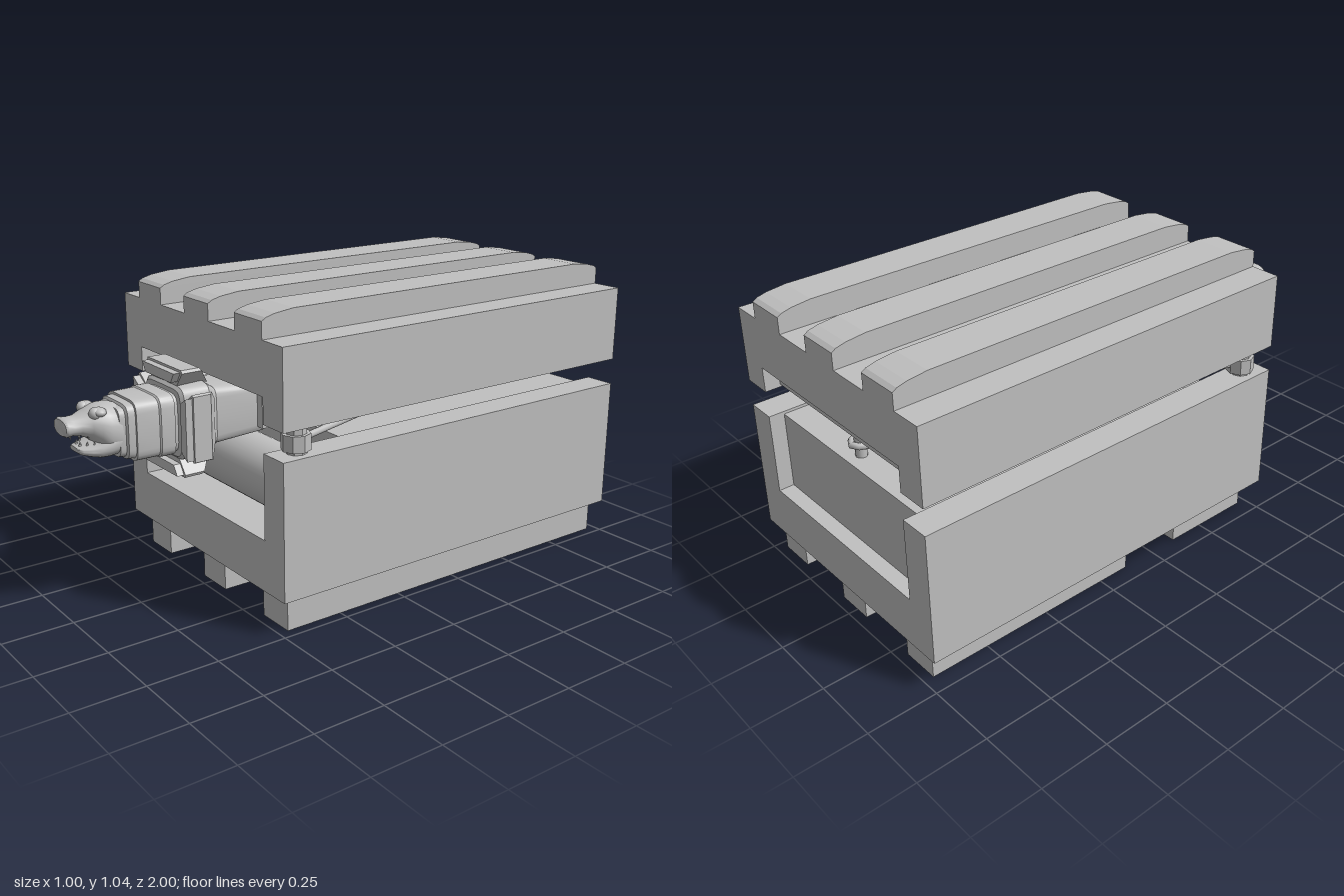
import * as THREE from 'three';
import { toCreasedNormals } from 'three/addons/utils/BufferGeometryUtils.js';

const stone = new THREE.MeshStandardMaterial({ color: 0xc0c0c0 });
stone.name = 'pale grey';

export function createModel() {
  const root = new THREE.Group();
  root.name = 'headedRam';

  const add = (name, geo, x = 0, y = 0, z = 0, parent = root) => {
    const m = new THREE.Mesh(geo, stone);
    m.name = name;
    m.position.set(x, y, z);
    parent.add(m);
    return m;
  };
  // Box from its minimum and maximum corners
  const block = (name, [x0, y0, z0], [x1, y1, z1]) =>
    add(name, new THREE.BoxGeometry(x1 - x0, y1 - y0, z1 - z0), (x0 + x1) / 2, (y0 + y1) / 2, (z0 + z1) / 2);
  const shapeOf = pts => new THREE.Shape(pts.map(p => new THREE.Vector2(...p)));
  const extrude = (pts, depth) => new THREE.ExtrudeGeometry(shapeOf(pts), { depth, bevelEnabled: false });

  // Skin over superellipse sections [z, centreY, halfWidth, halfHeight]; n = 2 is an ellipse, more is squarer
  const loft = (sections, n = 2, crease = 0.6, sides = 28) => {
    const pos = [], idx = [];
    const pw = v => Math.sign(v) * Math.abs(v) ** (2 / n);
    for (const [z, cy, rx, ry] of sections)
      for (let j = 0; j < sides; j++) {
        const t = (j / sides) * Math.PI * 2;
        pos.push(rx * pw(Math.cos(t)), cy + ry * pw(Math.sin(t)), z);
      }
    const last = sections.length - 1;
    for (let i = 0; i < last; i++)
      for (let j = 0; j < sides; j++) {
        const k = (j + 1) % sides, a = i * sides, b = a + sides;
        idx.push(a + j, a + k, b + k, a + j, b + k, b + j);
      }
    for (const [row, front] of [[0, false], [last, true]]) {
      const c = pos.length / 3;
      pos.push(0, sections[row][1], sections[row][0]);
      for (let j = 0; j < sides; j++) {
        const p = row * sides + j, q = row * sides + (j + 1) % sides;
        idx.push(c, front ? p : q, front ? q : p);
      }
    }
    const g = new THREE.BufferGeometry();
    g.setAttribute('position', new THREE.Float32BufferAttribute(pos, 3));
    g.setIndex(idx);
    return toCreasedNormals(g, crease);
  };

  // Lower and upper halves of the casing, open in the middle of both ends
  add('lowerCasing', extrude([[-0.5, 0.12], [0.5, 0.12], [0.5, 0.595], [0.39, 0.595], [0.39, 0.3],
    [-0.39, 0.3], [-0.39, 0.595], [-0.5, 0.595]], 1.5), 0, 0, -1);
  add('upperCasing', extrude([[-0.5, 0.69], [-0.39, 0.69], [-0.39, 0.78], [0.39, 0.78], [0.39, 0.69],
    [0.5, 0.69], [0.5, 0.96], [-0.5, 0.96]], 1.5), 0, 0, -1);
  block('lowerCore', [-0.39, 0.3, -0.945], [0.39, 0.585, 0.19]);
  block('upperCore', [-0.39, 0.7, -0.945], [0.39, 0.78, 0.2]);

  // Roof ribs with softened ends
  const ribProfile = [[-1, 0.96], [0.5, 0.96], [0.5, 1.018], [0.485, 1.028], [0.45, 1.037], [0.38, 1.045],
    [-0.88, 1.045], [-0.95, 1.037], [-0.985, 1.028], [-1, 1.018]];
  for (const x of [-0.3125, 0, 0.3125]) {
    const rib = add('roofRib', extrude(ribProfile, 0.155), x + 0.0775, 0, 0);
    rib.rotation.y = -Math.PI / 2; // profile runs along z
  }

  // Skids under the casing
  block('longSkid', [0.325, 0, -0.965], [0.465, 0.12, 0.465]);
  for (const x of [-0.435, -0.055]) {
    block('frontSkid', [x, 0, 0.11], [x + 0.14, 0.12, 0.465]);
    block('backSkid', [x, 0, -0.965], [x + 0.14, 0.12, -0.27]);
  }
  block('skidCrossbar', [-0.435, 0, -0.27], [0.465, 0.12, -0.13]);

  // Roller across the front opening
  const roller = add('roller', new THREE.CylinderGeometry(0.11, 0.11, 0.74, 40), 0, 0.42, 0.31);
  roller.rotation.z = Math.PI / 2;

  // Corner bollards and the back post holding the cord
  for (const s of [-1, 1]) {
    add('bollardCore', toCreasedNormals(new THREE.CylinderGeometry(0.035, 0.035, 0.1, 8), 0.4), s * 0.44, 0.642, 0.41);
    add('bollardDrum', toCreasedNormals(new THREE.CylinderGeometry(0.049, 0.049, 0.055, 8), 0.4), s * 0.438, 0.633, 0.41);
  }
  add('backPost', new THREE.CylinderGeometry(0.02, 0.02, 0.1, 12), 0, 0.633, -0.89);
  add('backPostCap', new THREE.CylinderGeometry(0.026, 0.026, 0.012, 12), 0, 0.677, -0.89);

  // Cord from bollard to bollard around the back post
  const half = [[0.44, 0.41], [0.3, -0.02], [0.15, -0.47], [0.04, -0.83], [0.03, -0.9]];
  const cordPts = [...half, [0, -0.922], ...half.map(([x, z]) => [-x, z]).reverse()]
    .map(([x, z]) => new THREE.Vector3(x, 0.635, z));
  add('cord', new THREE.TubeGeometry(new THREE.CatmullRomCurve3(cordPts), 100, 0.012, 8));

  // Ram beam inside the casing
  for (const [z0, z1, w] of [[0.12, 0.33, 0.13], [-0.03, 0.12, 0.11], [-0.32, -0.03, 0.13], [-0.42, -0.32, 0.1]])
    block('ramBeam', [-w, 0.575, z0], [w, 0.705, z1]);

  const ram = new THREE.Group();
  ram.name = 'ramHead';
  root.add(ram);
  const part = (name, geo, x, y, z) => add(name, geo, x, y, z, ram);

  // Collar and stepped neck
  part('collar', loft([[0.3, 0.64, 0.1, 0.09], [0.49, 0.64, 0.1, 0.1], [0.535, 0.64, 0.135, 0.13],
    [0.625, 0.64, 0.125, 0.125], [0.635, 0.64, 0.115, 0.115]], 7, 0.5));
  part('neck', loft([[0.6, 0.64, 0.097, 0.1], [0.65, 0.64, 0.097, 0.1], [0.65, 0.64, 0.107, 0.106],
    [0.7, 0.64, 0.106, 0.106], [0.705, 0.64, 0.102, 0.102], [0.785, 0.64, 0.1, 0.102],
    [0.785, 0.64, 0.092, 0.094], [0.81, 0.64, 0.09, 0.092], [0.815, 0.64, 0.082, 0.084], [0.835, 0.64, 0.08, 0.082]], 6, 0.5));

  // Four flared plates around the collar, each with a raised border block
  for (let i = 0; i < 4; i++) {
    const arm = new THREE.Group();
    arm.name = 'collarPlate';
    arm.position.set(0, 0.64, 0);
    arm.rotation.z = i * Math.PI / 2;
    ram.add(arm);
    const plate = extrude([[-0.075, 0.12], [0.075, 0.12], [0.115, 0.172], [0.11, 0.182], [-0.11, 0.182], [-0.115, 0.172]], 0.095);
    const p = plate.attributes.position;
    for (let k = 0; k < p.count; k++) // slope the back towards the collar
      if (p.getZ(k) < 0.01) p.setZ(k, (p.getY(k) - 0.12) * 0.8 - 0.02);
    plate.computeVertexNormals();
    add('flaredPlate', plate, 0, 0, 0.53, arm);
    add('plateRim', extrude([[-0.083, 0.14], [0.083, 0.14], [0.105, 0.174], [-0.105, 0.174]], 0.025), 0, 0, 0.625, arm);
  }

  // Skull with upper snout
  part('skull', loft([[0.8, 0.645, 0.07, 0.075], [0.825, 0.645, 0.083, 0.085], [0.86, 0.65, 0.085, 0.083],
    [0.89, 0.664, 0.078, 0.064], [0.915, 0.672, 0.064, 0.045], [0.945, 0.673, 0.048, 0.032],
    [0.97, 0.674, 0.046, 0.029], [0.992, 0.675, 0.052, 0.031], [1.0, 0.675, 0.047, 0.026]], 2.3, 1.0));
  // Dropped lower jaw
  part('lowerJaw', loft([[0.82, 0.62, 0.08, 0.06], [0.86, 0.605, 0.083, 0.046], [0.89, 0.594, 0.074, 0.033],
    [0.92, 0.591, 0.06, 0.022], [0.945, 0.593, 0.045, 0.015], [0.958, 0.596, 0.03, 0.008]], 2.3, 1.0));

  // Eyes, nostrils and teeth
  for (const s of [-1, 1]) {
    part('eye', new THREE.SphereGeometry(0.021, 16, 12), s * 0.044, 0.713, 0.9);
    const lid = part('brow', new THREE.SphereGeometry(0.026, 14, 10), s * 0.046, 0.717, 0.888);
    lid.scale.set(1.1, 0.6, 0.9);
    const nostril = part('nostril', new THREE.TorusGeometry(0.013, 0.003, 6, 16), s * 0.024, 0.676, 0.999);
    nostril.position.z = 0.997;
    for (let i = 0; i < 3; i++) {
      const upper = part('upperTooth', new THREE.ConeGeometry(0.007, 0.022, 6), s * (0.014 + 0.012 * i), 0.641, 0.975 - 0.025 * i);
      upper.rotation.x = Math.PI;
      part('lowerTooth', new THREE.ConeGeometry(0.007, 0.022, 6), s * (0.013 + 0.015 * i), 0.613, 0.943 - 0.018 * i);
    }
  }
  return root;
}
